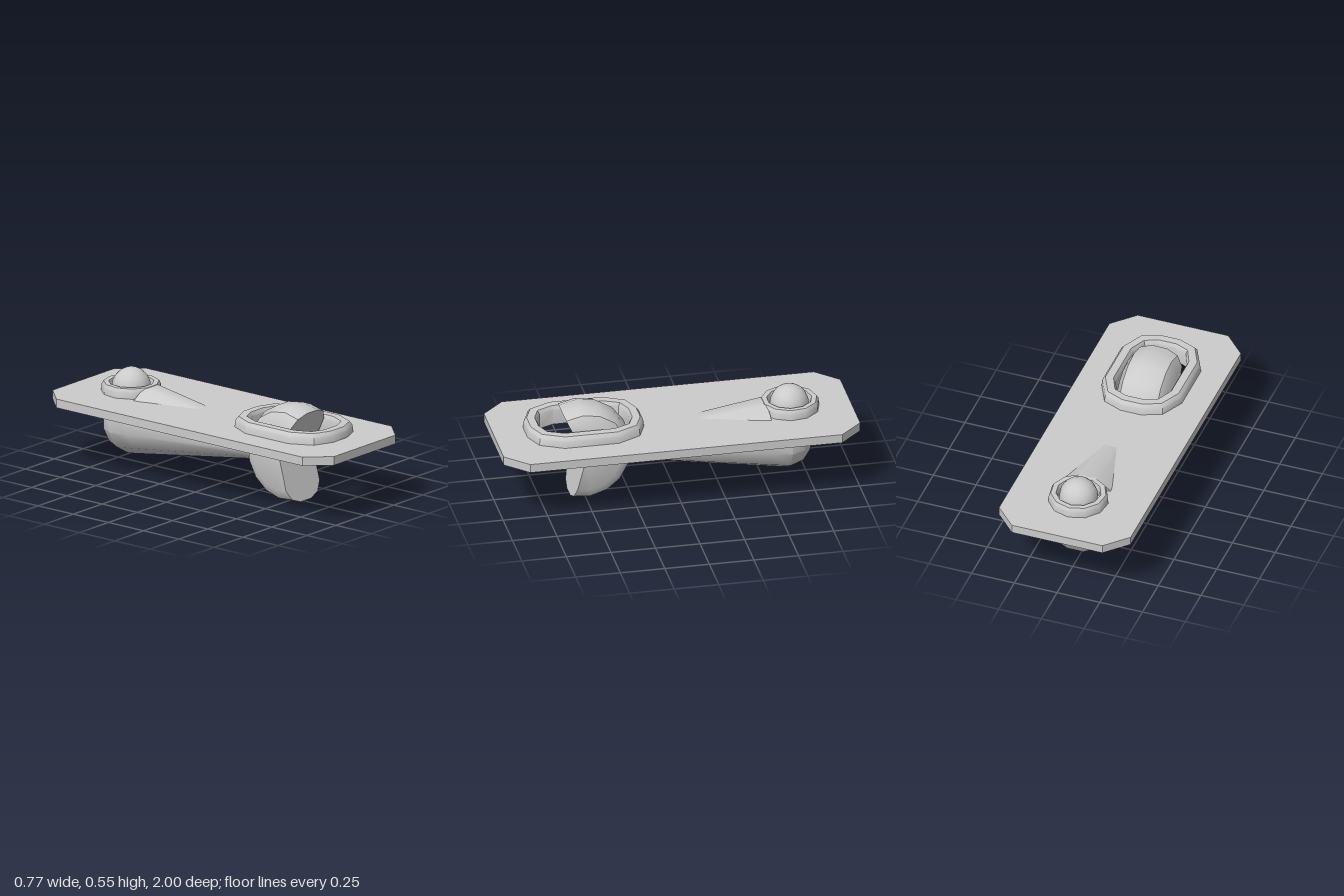
import * as THREE from 'three';
import { toCreasedNormals } from 'three/addons/utils/BufferGeometryUtils.js';

const material = new THREE.MeshStandardMaterial({ color: 0xcccccc, side: THREE.DoubleSide });

function addMesh(parent, name, geometry, crease = 0.6) {
  const mesh = new THREE.Mesh(crease ? toCreasedNormals(geometry, crease) : geometry, material);
  mesh.name = name;
  parent.add(mesh);
  return mesh;
}

// Skin a series of closed loops with equal point counts
function loft(loops) {
  const n = loops[0].length, index = [];
  for (let i = 0; i < loops.length - 1; i++) {
    for (let j = 0; j < n; j++) {
      const k = (j + 1) % n, a = i * n + j, b = i * n + k;
      index.push(a, b, b + n, a, b + n, a + n);
    }
  }
  const geometry = new THREE.BufferGeometry().setFromPoints(loops.flat());
  geometry.setIndex(index);
  return geometry;
}

// Bevelled collar between an outer and an inner outline, given as [x, z] pairs
function collar(outer, inner, bottom, top) {
  const h = top - 0.4;
  const profile = [[0, 0.4], [0.06, 0.4 + h * 0.66], [0.27, top], [0.85, top], [1, top - 0.02], [1, bottom]];
  return loft(profile.map(([t, y]) => outer.map(([x, z], i) => new THREE.Vector3(
    THREE.MathUtils.lerp(x, inner[i][0], t), y, THREE.MathUtils.lerp(z, inner[i][1], t)))));
}

// Mirror one quarter of an outline (right, rear) into a full loop about z = 0.497
function mirrorOutline(quarter) {
  const rear = [...quarter, ...quarter.map(([x, z]) => [-x, z]).reverse()];
  return [...rear, ...rear.map(([x, z]) => [x, 0.994 - z]).reverse()];
}

function polygonOutline(r, z, sides) {
  return Array.from({ length: sides }, (_, i) => {
    const a = Math.PI / 2 + (i / sides) * Math.PI * 2;
    return [Math.cos(a) * r, z - Math.sin(a) * r];
  });
}

export function createModel() {
  const model = new THREE.Group();
  const slotOuter = mirrorOutline([[0.235, 0.345], [0.17, 0.215], [0.06, 0.17]]);
  const slotInner = mirrorOutline([[0.158, 0.36], [0.12, 0.275], [0.05, 0.245]]);

  // Plate with clipped corners and a slot for the rocker
  const plate = new THREE.Shape([[0.385, 0.875], [0.265, 1], [-0.265, 1], [-0.385, 0.875],
    [-0.385, -0.875], [-0.265, -1], [0.265, -1], [0.385, -0.875]].map(p => new THREE.Vector2(...p)));
  plate.holes.push(new THREE.Path(slotInner.map(p => new THREE.Vector2(...p))));
  const plateGeometry = new THREE.ExtrudeGeometry(plate, { depth: 0.05, bevelEnabled: false });
  plateGeometry.rotateX(Math.PI / 2).translate(0, 0.4, 0);
  addMesh(model, 'plate', plateGeometry);

  // Collars around the rocker and the button
  addMesh(model, 'rockerCollar', collar(slotOuter, slotInner, 0.35, 0.46));
  addMesh(model, 'buttonCollar',
    collar(polygonOutline(0.167, -0.658, 11), polygonOutline(0.118, -0.658, 11), 0.4, 0.455));

  // Rocker: a partial drum turning about the x axis, open toward the front
  const rocker = new THREE.Group();
  rocker.name = 'rocker';
  const profile = [[0, -0.145], [0.195, -0.145], [0.25, -0.11], [0.275, -0.045],
    [0.275, 0.045], [0.25, 0.11], [0.195, 0.145], [0, 0.145]].map(p => new THREE.Vector2(...p));
  const start = THREE.MathUtils.degToRad(75), sweep = THREE.MathUtils.degToRad(220);
  profile[0].x = profile[7].x = 0.001;
  addMesh(rocker, 'rockerDrum', new THREE.LatheGeometry(profile, 10, start, sweep));
  for (const angle of [start, start + sweep]) {
    const face = new THREE.ShapeGeometry(new THREE.Shape(profile));
    addMesh(rocker, 'rockerFace', face.rotateY(angle - Math.PI / 2), 0);
  }
  rocker.rotation.z = -Math.PI / 2;
  rocker.position.set(0, 0.275, 0.51);
  model.add(rocker);

  // Tapered housing behind the rocker, cut level inside the button collar
  const sections = [[0.27, 0.001], [0.27, 0.077], [-0.525, 0.196], [-0.53, 0.197], [-0.635, 0.212],
    [-0.71, 0.185], [-0.755, 0.13], [-0.777, 0.06], [-0.778, 0.001]];
  addMesh(model, 'taperedHousing', loft(sections.map(([z, r]) =>
    Array.from({ length: 12 }, (_, i) => {
      const a = ((i + 0.5) / 12) * Math.PI * 2;
      const y = 0.265 - Math.sin(a) * r;
      return new THREE.Vector3(Math.cos(a) * r, z < -0.527 ? Math.min(y, 0.4) : y, z);
    }))));

  // Round button
  const button = addMesh(model, 'button', new THREE.SphereGeometry(0.108, 14, 10), 0);
  button.position.set(0, 0.428, -0.658);

  return model;
}
